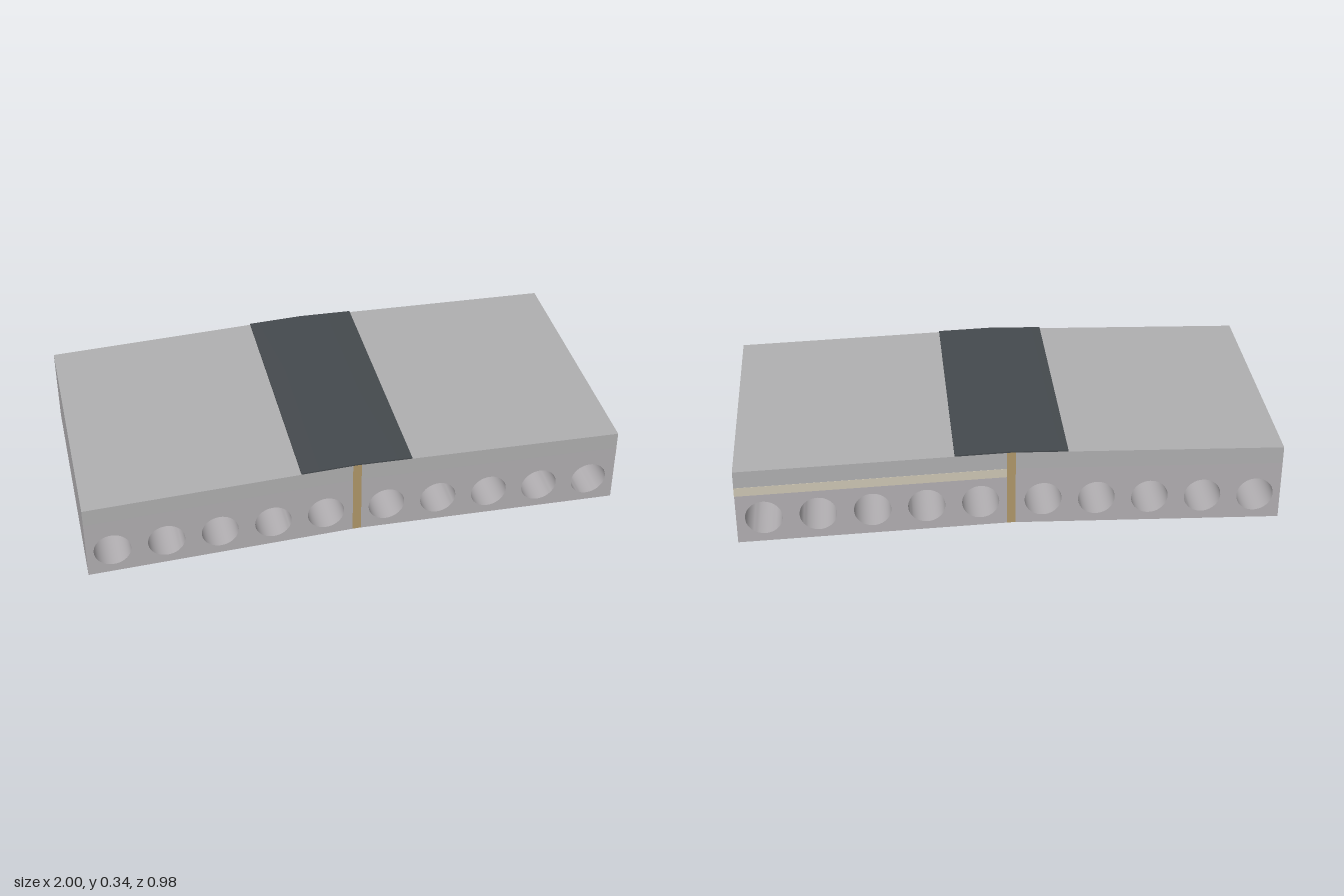
import * as THREE from 'three';
import { toCreasedNormals } from 'three/addons/utils/BufferGeometryUtils.js';

const HALF_DEPTH = 0.49, RISE = 0.03, JOINT = 0.016;
const lift = (x) => RISE * (1 - Math.abs(x)); // gentle fall from centre to ends

function material(name, color) {
  const m = new THREE.MeshStandardMaterial({ color });
  m.name = name;
  return m;
}

// Band between two heights that follows the fall, passing through the given x stations
function bandShape(xs, low, high) {
  const under = xs.map((x) => new THREE.Vector2(x, low + lift(x)));
  const over = xs.map((x) => new THREE.Vector2(x, high + lift(x))).reverse();
  return new THREE.Shape([...under, ...over]);
}

function extrude(shape, z0, z1) {
  const g = new THREE.ExtrudeGeometry(shape, { depth: z1 - z0, bevelEnabled: false, curveSegments: 20 });
  g.translate(0, 0, z0);
  return toCreasedNormals(g, 0.5);
}

export function createModel() {
  const model = new THREE.Group();
  model.name = 'hollowCoreFloor';
  const concrete = material('concrete', 0xb2afb2);
  const topping = material('topping', 0xb0b0b1);
  const grout = material('grout', 0xb0986a);
  const bearing = material('beige strip', 0xcec7b5);
  const membrane = material('dark membrane', 0x454a4e);

  const add = (name, geometry, mat) => {
    const mesh = new THREE.Mesh(geometry, mat);
    mesh.name = name;
    model.add(mesh);
  };

  // Two hollow planks with a topping layer each
  for (const [side, s, firstHole] of [['left', 1, 0.112], ['right', -1, -0.117]]) {
    const xs = s > 0 ? [JOINT, 1] : [-1, -JOINT];
    const plank = bandShape(xs, 0, 0.233);
    for (let i = 0; i < 5; i++) {
      const x = firstHole + s * i * 0.197;
      const hole = new THREE.Path();
      hole.absarc(x, 0.1 + lift(x), 0.068, 0, Math.PI * 2, true);
      plank.holes.push(hole);
    }
    add(side + 'Plank', extrude(plank, -HALF_DEPTH, HALF_DEPTH), concrete);
    add(side + 'Topping', extrude(bandShape(xs, 0.233, 0.3), -HALF_DEPTH, HALF_DEPTH), topping);
  }

  // Grout joint between the planks
  add('groutJoint', extrude(bandShape([-JOINT, 0, JOINT], 0, 0.3), -HALF_DEPTH, HALF_DEPTH), grout);

  // Membrane over the joint
  add('membrane', extrude(bandShape([-0.207, 0, 0.205], 0.3, 0.305), -HALF_DEPTH, HALF_DEPTH), membrane);

  // Beige strip below the topping, on the left end and the back of the left plank
  const endStrip = new THREE.BoxGeometry(0.001, 0.035, HALF_DEPTH * 2);
  endStrip.translate(1, 0.2155, 0);
  add('endStrip', endStrip, bearing);
  add('backStrip', extrude(bandShape([JOINT, 1], 0.198, 0.233), -HALF_DEPTH - 0.001, -HALF_DEPTH), bearing);

  return model;
}
